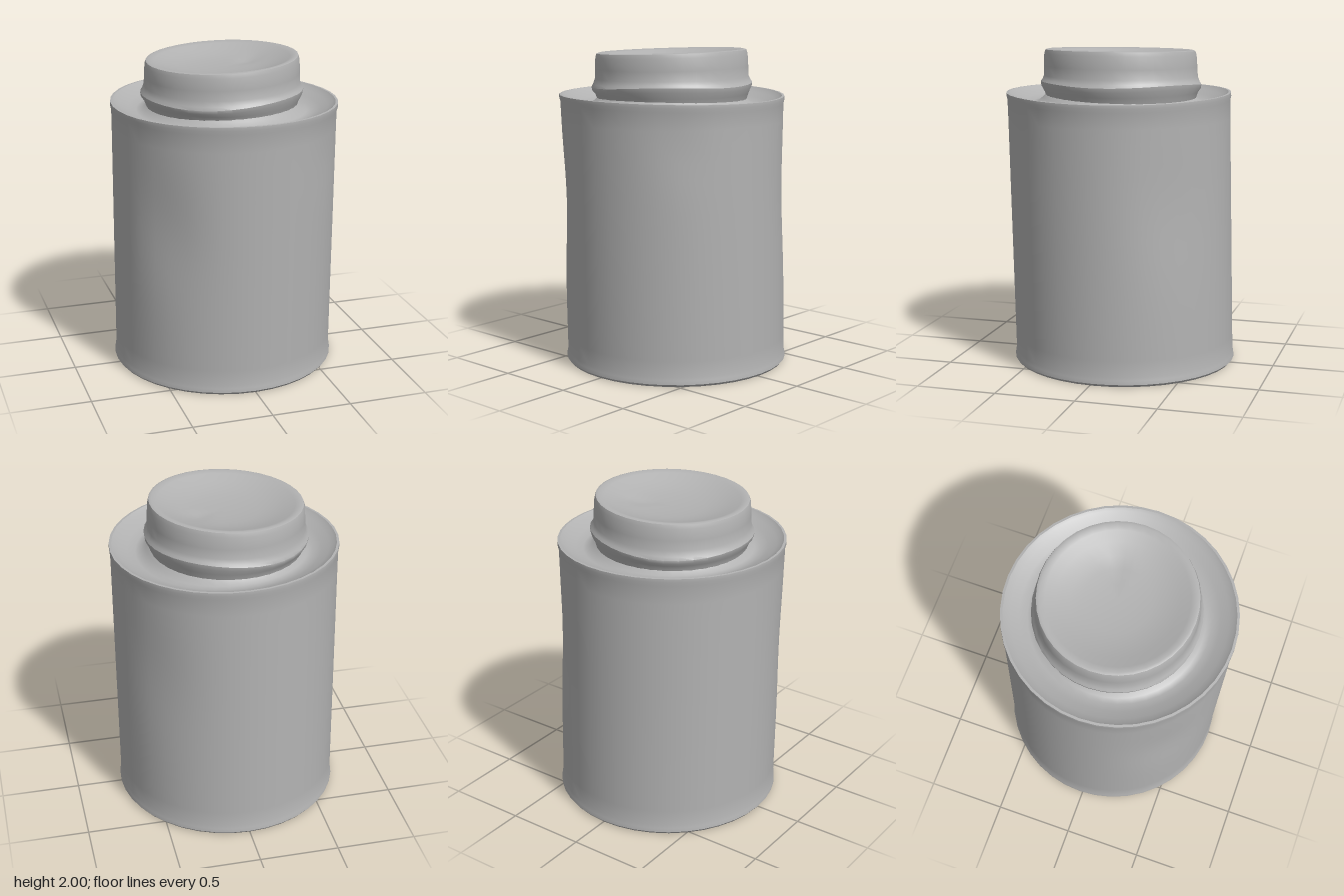
import * as THREE from 'three';
import { mergeVertices, toCreasedNormals } from 'three/addons/utils/BufferGeometryUtils.js';

const metal = new THREE.MeshStandardMaterial({ color: 0xb2b2b2 });
metal.name = 'dull grey';

// Dents in the wall: direction (radians from +z towards +x), height, angular spread, spread in height, depth
const wallDents = [
  [2.3, 1.1, 0.35, 0.4, 0.022],
  [-0.8, 1.05, 0.28, 0.35, 0.032],
  [0.8, 1.45, 0.2, 0.2, 0.012],
];

const bump = (d, w) => Math.exp(-(d * d) / (w * w));

// Revolve a profile, move its points by a rule, then smooth all but the sharp edges
function turned(name, profile, segments, rule) {
  let geo = new THREE.LatheGeometry(profile.map(([r, y]) => new THREE.Vector2(r, y)), segments);
  geo.deleteAttribute('uv');
  geo.deleteAttribute('normal');
  geo = mergeVertices(geo, 1e-4);
  const pos = geo.attributes.position;
  const v = new THREE.Vector3();
  for (let i = 0; i < pos.count; i++) {
    v.fromBufferAttribute(pos, i);
    rule(v);
    pos.setXYZ(i, v.x, v.y, v.z);
  }
  const mesh = new THREE.Mesh(toCreasedNormals(geo, 0.7), metal);
  mesh.name = name;
  return mesh;
}

// Whole can leans slightly to the front
const lean = (v) => { v.z += 0.024 * (v.y - 0.86); };

function bodyRule(v) {
  const a = Math.atan2(v.x, v.z);
  const r = Math.hypot(v.x, v.z);
  if (r > 0.695) {
    let k = 1;
    for (const [angle, y, w, h, depth] of wallDents) {
      const d = Math.atan2(Math.sin(a - angle), Math.cos(a - angle));
      k -= depth * bump(d, w) * bump(v.y - y, h);
    }
    v.x *= k;
    v.z *= k;
  }
  // Uneven top rim
  if (v.y > 1.65) v.y += 0.005 * Math.sin(2 * a + 1) - 0.008 * v.x;
  lean(v);
}

function lidRule(v) {
  const up = Math.max(0, (v.y - 1.7) / 0.28);
  const a = Math.atan2(v.x, v.z);
  // Wavy bead and tilted top with a small nick
  const wave = bump(v.y - 1.77, 0.04);
  v.y += wave * (0.008 * Math.sin(3 * a) + 0.02 * v.x) + up * 0.038 * v.x;
  if (up > 0.7) v.y -= 0.012 * bump(Math.hypot(v.x - 0.2, v.z + 0.08), 0.06);
  v.x -= 0.012;
  v.z -= 0.014;
  lean(v);
}

export function createModel() {
  const group = new THREE.Group();
  group.name = 'can';

  // Closed base, wall with slight rims, shoulder sinking inwards to a groove round the neck
  const body = [[0, 0.012], [0.69, 0.012], [0.7, 0], [0.712, 0.015], [0.709, 0.04], [0.704, 0.06]];
  for (let i = 1; i < 16; i++) body.push([0.704, 0.06 + i * 0.1]);
  body.push([0.705, 1.67], [0.711, 1.695], [0.71, 1.716], [0.695, 1.717], [0.68, 1.705],
    [0.65, 1.69], [0.6, 1.668], [0.55, 1.652], [0.515, 1.655], [0.48, 1.685], [0.45, 1.71]);
  group.add(turned('body', body, 40, bodyRule));

  // Lid with a bead at its foot and a dished top
  group.add(turned('lid', [
    [0.46, 1.65], [0.475, 1.69], [0.485, 1.72], [0.504, 1.75], [0.508, 1.775], [0.497, 1.792],
    [0.486, 1.82], [0.484, 1.88], [0.48, 1.955], [0.472, 1.98], [0.455, 1.985], [0.42, 1.974],
    [0.36, 1.953], [0.28, 1.932], [0.2, 1.92], [0.1, 1.914], [0, 1.912],
  ], 36, lidRule));

  return group;
}
